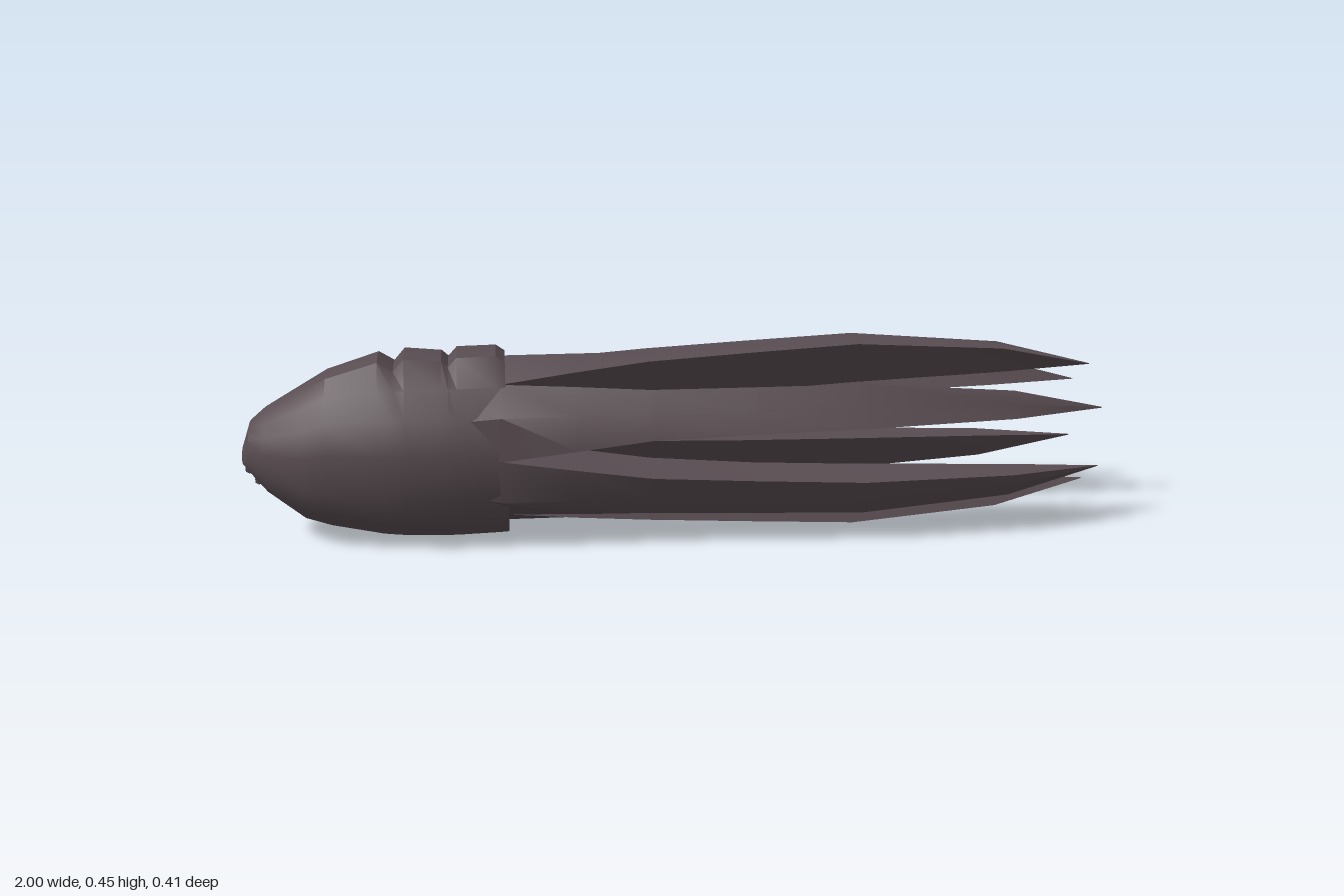
import * as THREE from 'three';
import { toCreasedNormals } from 'three/addons/utils/BufferGeometryUtils.js';

const CENTRE_Y = 0.225;
const DEPTH = 0.93; // the whole creature is slightly narrower than tall

// Skin a list of equal-length cross-sections running along +x, with closed ends.
function loft(rings, crease) {
  const n = rings[0].length;
  const pos = [];
  const tri = (a, b, c) => pos.push(...a, ...b, ...c);
  for (let i = 0; i < rings.length - 1; i++) {
    for (let j = 0; j < n; j++) {
      const k = (j + 1) % n;
      const a = rings[i][j], b = rings[i][k], c = rings[i + 1][j], d = rings[i + 1][k];
      tri(a, c, b);
      tri(b, c, d);
    }
  }
  const middle = (ring) => [0, 1, 2].map((q) => ring.reduce((s, p) => s + p[q], 0) / n);
  const first = rings[0], last = rings[rings.length - 1];
  const m0 = middle(first), m1 = middle(last);
  for (let j = 0; j < n; j++) {
    const k = (j + 1) % n;
    tri(m0, first[j], first[k]);
    tri(m1, last[k], last[j]);
  }
  const g = new THREE.BufferGeometry();
  g.setAttribute('position', new THREE.Float32BufferAttribute(pos, 3));
  return toCreasedNormals(g, crease);
}

// Half of the widest body section as unit [z, y], from top to bottom.
const HALF = [
  [0, 1], [0.29, 0.97], [0.55, 0.77], [0.86, 0.5], [1, 0.12],
  [0.97, -0.38], [0.75, -0.76], [0.47, -0.98], [0, -1],
];
const SECTION = [
  ...HALF.map(([z, y]) => [-z, y]),
  ...HALF.slice(1, -1).reverse(),
];

// Body stations: x, top y, bottom y, half width, extra height of the back ridge.
const BODY = [
  [-1, 0.225, 0.185, 0.03, 0],
  [-0.98, 0.285, 0.165, 0.065, 0],
  [-0.945, 0.315, 0.125, 0.09, 0],
  [-0.86, 0.365, 0.062, 0.127, 0],
  [-0.8, 0.4, 0.045, 0.147, 0],
  [-0.68, 0.42, 0.023, 0.168, 0.018],
  [-0.645, 0.422, 0.02, 0.173, -0.006],
  [-0.62, 0.424, 0.018, 0.175, 0.021],
  [-0.535, 0.425, 0.015, 0.174, 0.012],
  [-0.52, 0.425, 0.015, 0.174, -0.002],
  [-0.5, 0.425, 0.015, 0.173, 0.02],
  [-0.41, 0.425, 0.017, 0.168, 0.022],
  [-0.39, 0.425, 0.018, 0.166, 0.008],
];

function bodyGeometry() {
  const rings = BODY.map(([x, top, bottom, width, ridge]) => {
    const mid = (top + bottom) / 2, half = (top - bottom) / 2;
    return SECTION.map(([z, y]) => [x, mid + y * half + (y > 0.9 ? ridge : 0), z * width]);
  });
  return loft(rings, 0.6);
}

// Arm stations: x, radius of outer face, radius of its edges, half width, radius of inner keel.
const ARM = [
  [-0.47, 0.185, 0.145, 0.08, 0],
  [-0.4, 0.203, 0.158, 0.091, 0],
  [-0.23, 0.203, 0.178, 0.076, 0.04],
  [-0.06, 0.203, 0.195, 0.06, 0.075],
  [0.18, 0.213, 0.209, 0.056, 0.1],
  [0.43, 0.223, 0.222, 0.053, 0.115],
  [0.78, 0.199, 0.197, 0.034, 0.13],
  [1, 0.146, 0.145, 0.001, 0.144],
];

function armGeometry(angle) {
  const c = Math.cos(angle), s = Math.sin(angle);
  const rings = ARM.map(([x, outer, edge, w, keel]) =>
    [[edge, -w], [outer, 0], [edge, w], [keel, 0]].map(([u, v]) =>
      [x, CENTRE_Y + u * s + v * c, DEPTH * (u * c - v * s)]));
  return loft(rings, 0.8);
}

export function createModel() {
  const model = new THREE.Group();
  model.name = 'sixArmedCreature';
  const skin = new THREE.MeshStandardMaterial({ color: 0x594d52 });
  skin.name = 'dark mauve skin';

  const add = (geometry, name) => {
    const mesh = new THREE.Mesh(geometry, skin);
    mesh.name = name;
    model.add(mesh);
    return mesh;
  };

  add(bodyGeometry(), 'body');

  // Six arms around the long axis, one of them straight up
  for (let i = 0; i < 6; i++) {
    add(armGeometry(Math.PI / 6 + (i * Math.PI) / 3), `arm${i + 1}`);
  }

  // Small lips under the nose
  [[-0.985, 0.178], [-0.965, 0.15]].forEach(([x, y], i) => {
    const lip = add(new THREE.CylinderGeometry(0.01, 0.01, 0.06, 6), i ? 'lowerLip' : 'upperLip');
    lip.rotation.x = Math.PI / 2;
    lip.position.set(x, y, 0);
  });

  return model;
}
